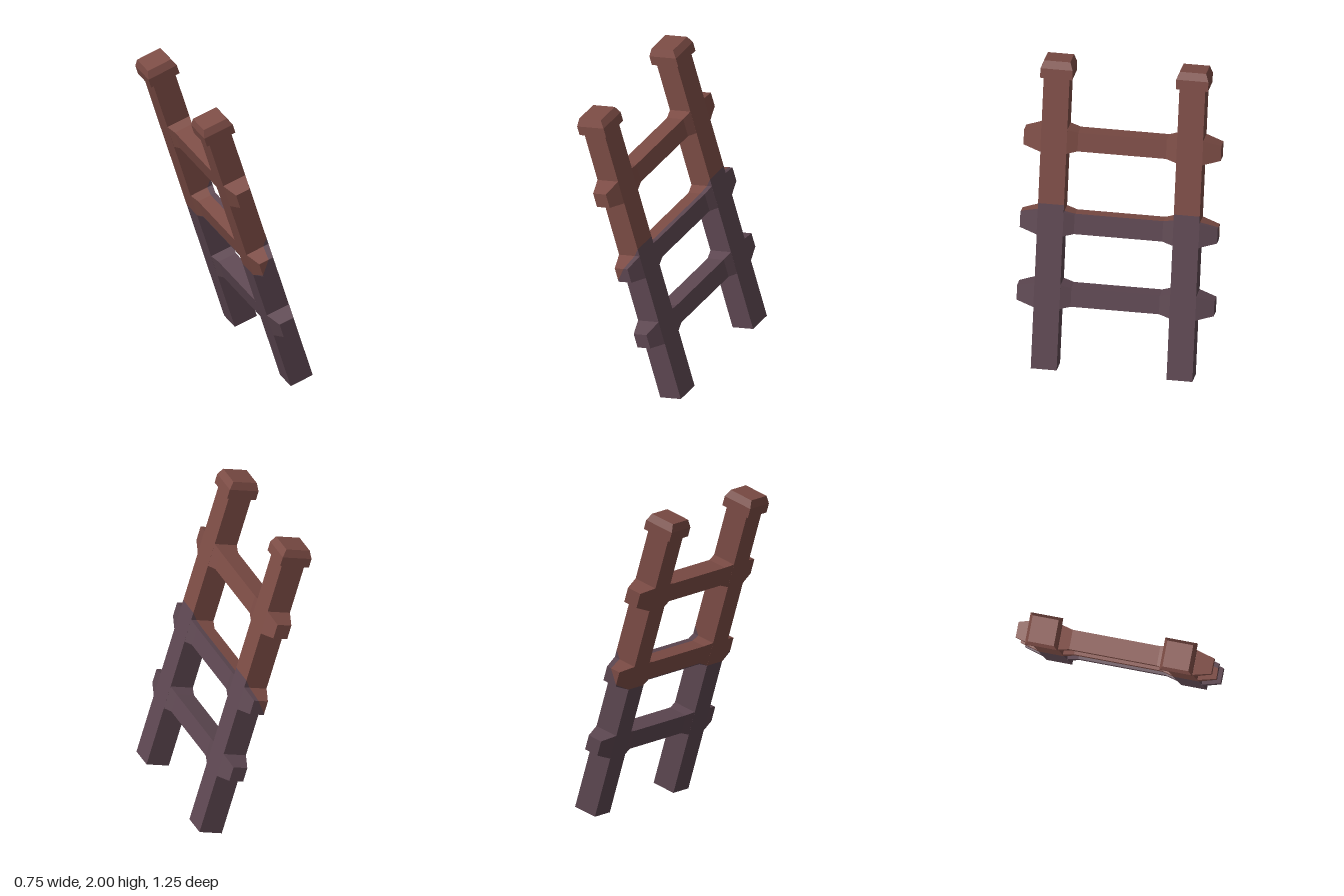
import * as THREE from 'three';

const LEAN = THREE.MathUtils.degToRad(16.92);
const POST = 0.079;      // half width of a post
const LENGTH = 1.94;     // post length up to the inside of its cap
const POST_Z = 0.43;

// Slanted line where the dark lower wood meets the red upper wood
const CUT_R = 1.095, CUT_L = 0.885;
const cutV = u => CUT_L + (CUT_R - CUT_L) * (u + 0.08) / 0.16;
const cutU = v => -0.08 + 0.16 * (v - CUT_L) / (CUT_R - CUT_L);

// Joins counter-clockwise cross-sections [z, points] into a closed, flat-faced solid
function loft(sections) {
  const pos = [];
  const tri = (...p) => p.forEach(q => pos.push(...q));
  const rings = sections.map(([z, pts]) => pts.map(([x, y]) => [x, y, z]));
  const n = rings[0].length;
  for (let s = 0; s < rings.length - 1; s++) {
    for (let i = 0; i < n; i++) {
      const j = (i + 1) % n, a = rings[s], b = rings[s + 1];
      tri(a[i], a[j], b[j]);
      tri(a[i], b[j], b[i]);
    }
  }
  const first = rings[0], last = rings[rings.length - 1];
  for (let i = 1; i < n - 1; i++) {
    tri(first[0], first[i + 1], first[i]);
    tri(last[0], last[i], last[i + 1]);
  }
  const geo = new THREE.BufferGeometry();
  geo.setAttribute('position', new THREE.Float32BufferAttribute(pos, 3));
  geo.computeVertexNormals();
  return geo;
}

const square = (h, v = 0) => [[-h, v - h], [h, v - h], [h, v + h], [-h, v + h]];

// Parts of a square section above and below the colour line
const upperPart = (h, v) => [[-h, v + h], [-h, cutV(-h)], [cutU(v + h), v + h]];
const lowerPart = (h, v) =>
  [[-h, v - h], [h, v - h], [h, v + h], [cutU(v + h), v + h], [-h, cutV(-h)]];

// Rung stations along z: tapered tip, flared joint, slim middle, mirrored
const HALF_RUNG = [[0.625, 0.049], [0.513, POST], [0.35, POST], [0.28, 0.062]];
const RUNG = [...HALF_RUNG.map(([z, h]) => [-z, h]), ...[...HALF_RUNG].reverse()];
const rung = (v, section) => loft(RUNG.map(([z, h]) => [z, section(h, v)]));

export function createModel() {
  const redWood = new THREE.MeshStandardMaterial({ color: 0x7c4c45 });
  redWood.name = 'redWood';
  const darkWood = new THREE.MeshStandardMaterial({ color: 0x5d4751 });
  darkWood.name = 'darkWood';

  const ladder = new THREE.Group();
  ladder.name = 'ladder';
  const add = (name, geo, mat, z = 0) => {
    const mesh = new THREE.Mesh(geo, mat);
    mesh.name = name;
    mesh.position.z = z;
    ladder.add(mesh);
  };

  // Posts, split at the colour line, each with a chamfered cap
  const slab = pts => loft([[-0.082, pts], [0.082, pts]]);
  const lower = slab([[-POST, 0], [POST, 0], [POST, cutV(POST)], [-POST, cutV(-POST)]]);
  const upper = slab([[-POST, cutV(-POST)], [POST, cutV(POST)], [POST, LENGTH], [-POST, LENGTH]]);
  const cap = loft([[1.929, square(0.102)], [1.992, square(0.102)], [2.04, square(0.083)]]);
  cap.rotateX(-Math.PI / 2);
  for (const [side, z] of [['front', POST_Z], ['back', -POST_Z]]) {
    add(side + 'PostLower', lower, darkWood, z);
    add(side + 'PostUpper', upper, redWood, z);
    add(side + 'PostCap', cap, redWood, z);
  }

  // Rungs; the middle one carries the colour change
  add('bottomRung', rung(0.484, square), darkWood);
  add('middleRungLower', rung(0.965, lowerPart), darkWood);
  add('middleRungUpper', rung(0.965, upperPart), redWood);
  add('topRung', rung(1.512, square), redWood);

  // Lean the ladder towards -x
  ladder.rotation.z = LEAN;
  ladder.position.set(0.299, 0.023, 0);

  const model = new THREE.Group();
  model.name = 'leaningLadder';
  model.add(ladder);
  return model;
}
